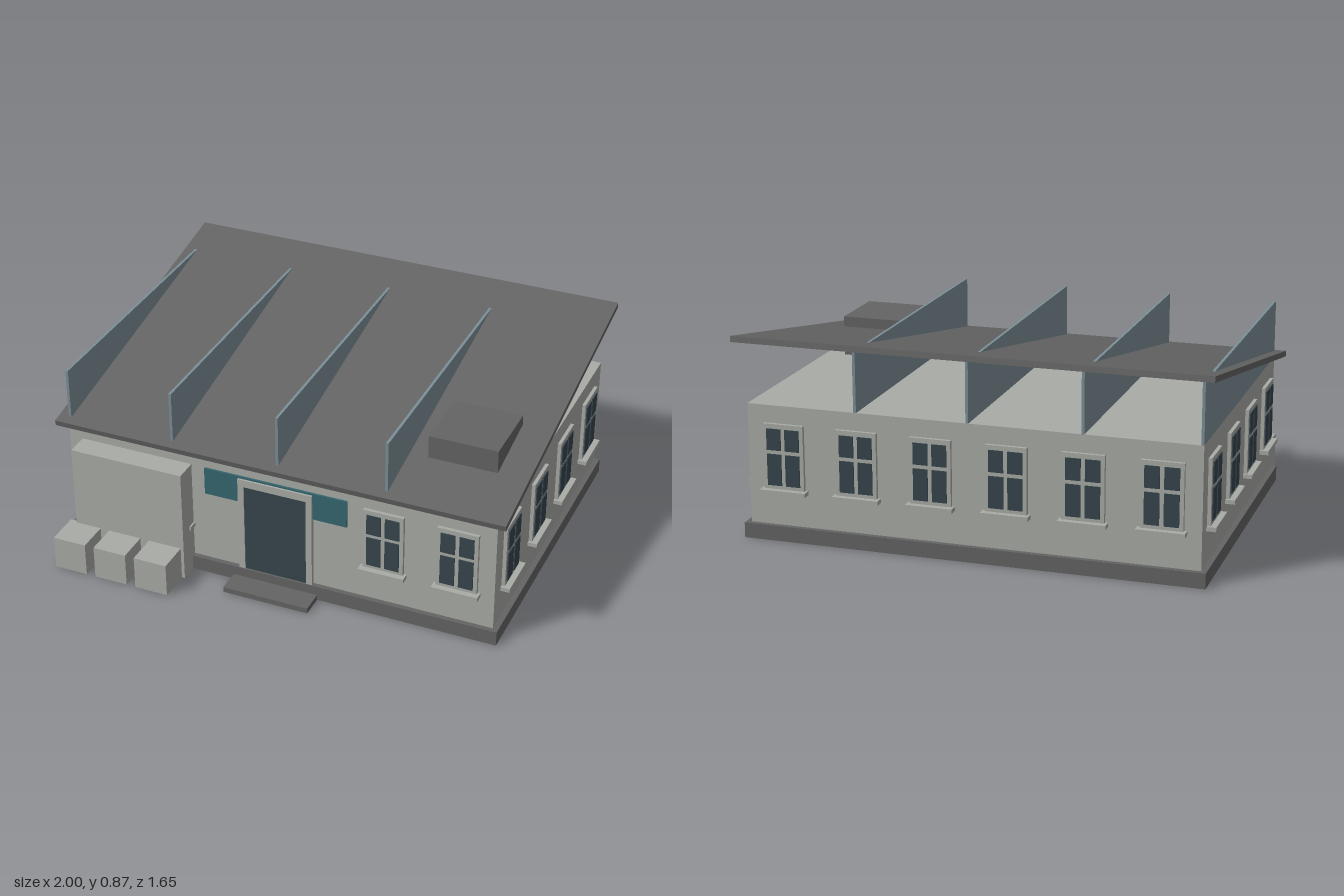
import * as THREE from 'three';

const mat = (name, color) => {
  const m = new THREE.MeshStandardMaterial({ color });
  m.name = name;
  return m;
};

export function createModel() {
  const wall = mat('pale plaster', 0xa9aba6);
  const slate = mat('dark grey', 0x646464);
  const glass = mat('dark glass', 0x37454d);
  const fin = mat('blue grey', 0x7b8e97);
  const teal = mat('teal', 0x35656f);

  const model = new THREE.Group();
  model.name = 'building';

  // Box given by its limits on each axis
  const box = (parent, name, material, [x0, x1], [y0, y1], [z0, z1]) => {
    const mesh = new THREE.Mesh(new THREE.BoxGeometry(x1 - x0, y1 - y0, z1 - z0), material);
    mesh.position.set((x0 + x1) / 2, (y0 + y1) / 2, (z0 + z1) / 2);
    mesh.name = name;
    parent.add(mesh);
    return mesh;
  };

  const W = 0.955, front = 0.585, back = -0.78, midZ = (front + back) / 2;

  // Body
  box(model, 'plinth', slate, [-0.978, 0.978], [0, 0.065], [-0.802, 0.607]);
  box(model, 'walls', wall, [-W, W], [0.065, 0.577], [back, front]);
  box(model, 'doorStep', slate, [-0.193, 0.19], [0, 0.024], [0.607, 0.71]);

  // Sloping roof slab and the box standing through it
  const roof = box(model, 'roof', slate, [-1, 1], [0, 0.025], [0, 1.47]);
  roof.position.set(0, 0.72, -0.1);
  roof.rotation.x = 0.184;
  box(model, 'roofBox', slate, [0.57, 0.867], [0.577, 0.75], [0.05, 0.35]);

  // Upright fins that carry the roof and show above it
  for (let i = 0; i < 4; i++) {
    const x = -W + i * W / 2;
    box(model, 'roofFin', fin, [x, x + 0.012], [0.577, 0.83], [back, front]);
  }

  // Window: frame plate, four panes and a sill, facing +z
  const addWindow = (x, z, turn) => {
    const win = new THREE.Group();
    win.name = 'window';
    box(win, 'windowFrame', wall, [-0.088, 0.088], [0.222, 0.502], [0, 0.015]);
    box(win, 'windowSill', wall, [-0.1, 0.1], [0.206, 0.224], [0, 0.04]);
    for (const [x0, x1] of [[-0.071, -0.009], [0.009, 0.071]])
      for (const y of [[0.24, 0.374], [0.391, 0.482]])
        box(win, 'windowPane', glass, [x0, x1], y, [0.013, 0.02]);
    win.position.set(x, 0, z);
    win.rotation.y = turn;
    model.add(win);
  };

  // Six bays front and back (the door takes the front middle), four on each side
  for (let i = 0; i < 6; i++) {
    const x = (i - 2.5) * W / 3;
    addWindow(x, back, Math.PI);
    if (i !== 2 && i !== 3) addWindow(x, front, 0);
  }
  for (let i = 0; i < 4; i++) {
    const z = midZ + (i - 1.5) * 0.342;
    addWindow(W, z, Math.PI / 2);
    addWindow(-W, z, -Math.PI / 2);
  }

  // Entrance: sign board, door and surround
  box(model, 'signBoard', teal, [-0.322, 0.317], [0.39, 0.514], [front, 0.594]);
  box(model, 'door', glass, [-0.14, 0.138], [0.065, 0.473], [front, 0.599]);
  for (const x of [[-0.167, -0.14], [0.138, 0.165]])
    box(model, 'doorJamb', wall, x, [0.065, 0.506], [front, 0.603]);
  box(model, 'doorHead', wall, [-0.14, 0.138], [0.473, 0.506], [front, 0.603]);

  // Storage shed and three bins in front of it
  box(model, 'shed', wall, [-0.895, -0.385], [0, 0.513], [front, 0.686]);
  for (let i = 0; i < 3; i++) {
    const x = -0.928 + i * 0.19;
    box(model, 'bin', wall, [x, x + 0.149], [0, 0.148], [0.675, 0.825]);
  }
  return model;
}
